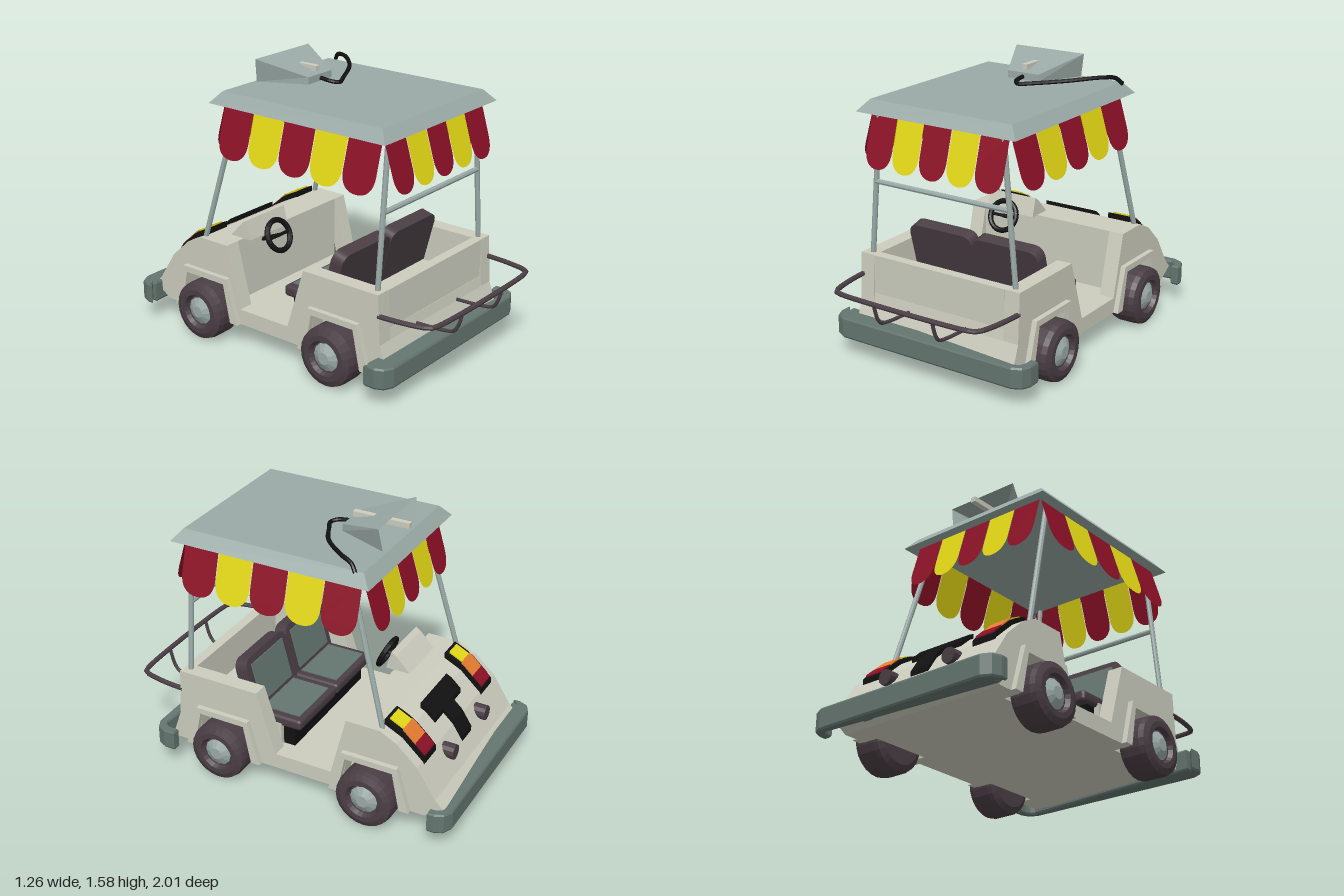
import * as THREE from 'three';
import { RoundedBoxGeometry } from 'three/addons/geometries/RoundedBoxGeometry.js';

const mat = (name, color, side = THREE.FrontSide) => {
  const m = new THREE.MeshStandardMaterial({ color, side, flatShading: true });
  m.name = name;
  return m;
};

export function createModel() {
  const cream = mat('cream', 0xcccdbe), steel = mat('pale steel', 0x9aaaa6, THREE.DoubleSide);
  const slate = mat('slate', 0x64756f), dark = mat('dark brown', 0x4a3e44), black = mat('black', 0x111111);
  const red = mat('red', 0x8c1026, THREE.DoubleSide), yellow = mat('yellow', 0xe2d714, THREE.DoubleSide);
  const orange = mat('orange', 0xe57c30);
  const root = new THREE.Group();
  const V = (x, y, z) => new THREE.Vector3(x, y, z);

  const add = (name, geo, m, parent = root) => {
    const mesh = new THREE.Mesh(geo, m);
    mesh.name = name;
    parent.add(mesh);
    return mesh;
  };
  const box = (name, m, x0, x1, y0, y1, z0, z1, parent) =>
    add(name, new THREE.BoxGeometry(x1 - x0, y1 - y0, z1 - z0)
      .translate((x0 + x1) / 2, (y0 + y1) / 2, (z0 + z1) / 2), m, parent);
  // Side profile of [z, y] points, extruded across x
  const extrudeX = (name, m, pts, x0, x1) => {
    const shape = new THREE.Shape(pts.map(([z, y]) => new THREE.Vector2(-z, y)));
    const geo = new THREE.ExtrudeGeometry(shape, { depth: x1 - x0, bevelEnabled: false });
    return add(name, geo.rotateY(Math.PI / 2).translate(x0, 0, 0), m);
  };
  const rod = (name, m, a, b, r, sides = 8) => {
    const mesh = add(name, new THREE.CylinderGeometry(r, r, a.distanceTo(b), sides), m);
    mesh.position.copy(a).lerp(b, 0.5);
    mesh.quaternion.setFromUnitVectors(V(0, 1, 0), b.clone().sub(a).normalize());
    return mesh;
  };
  const tube = (name, m, pts, r) => add(name, new THREE.TubeGeometry(
    new THREE.CatmullRomCurve3(pts.map(p => V(...p)), false, 'centripetal'), 40, r, 8), m);

  // Body: inner tub plus side panels with wheel openings
  const hood = [[-0.36, 0.58], [-0.56, 0.58], [-0.66, 0.53], [-0.78, 0.42], [-0.89, 0.25], [-0.94, 0.2], [-0.83, 0.13]];
  const arch = (z, low, high, top) => [[z - low, 0.13], [z - high, top], [z + high, top], [z + low, 0.13]];
  const axles = [-0.51, 0.405];
  extrudeX('bodyTub', cream, [[0.76, 0.13], [0.7, 0.3], [0.69, 0.36], [0.09, 0.36], [0.09, 0.22], [-0.36, 0.22], ...hood], -0.43, 0.43);
  box('rearWall', cream, -0.43, 0.43, 0.34, 0.58, 0.63, 0.688);
  const panel = [[0.76, 0.13], [0.7, 0.3], [0.685, 0.58], [0.19, 0.58], [0.075, 0.22], [-0.27, 0.22], ...hood,
    ...arch(axles[0], 0.18, 0.14, 0.355), ...arch(axles[1], 0.18, 0.14, 0.355)];
  for (const s of [-1, 1]) {
    const span = (a, b) => (s > 0 ? [a, b] : [-b, -a]);
    extrudeX('sidePanel', cream, panel, ...span(0.43, 0.52));
    for (const z of axles) {
      extrudeX('fender', cream, [...arch(z, 0.24, 0.165, 0.39), ...arch(z, 0.185, 0.14, 0.355).reverse()], ...span(0.52, 0.55));
      // Wheel: lathed tyre and a domed hub
      const wheel = new THREE.Group();
      wheel.name = 'wheel';
      wheel.position.set(s * 0.525, 0.17, z);
      wheel.rotation.z = -s * Math.PI / 2;
      root.add(wheel);
      const tyre = [[0, -0.095], [0.13, -0.095], [0.163, -0.075], [0.17, -0.05], [0.17, 0.05], [0.163, 0.08], [0.13, 0.095], [0.1, 0.095], [0.088, 0.07], [0, 0.07]];
      add('tyre', new THREE.LatheGeometry(tyre.map(p => new THREE.Vector2(...p)), 24), dark, wheel);
      add('hub', new THREE.CylinderGeometry(0.035, 0.09, 0.03, 12).translate(0, 0.08, 0), steel, wheel);
    }
  }

  // Pads that follow the slope of the hood
  const hoodY = z => {
    const i = Math.max(1, hood.findIndex(p => p[0] <= z));
    const [a, b] = [hood[i - 1], hood[i]];
    return a[1] + (b[1] - a[1]) * (z - a[0]) / (b[0] - a[0]);
  };
  const hoodPad = (name, m, x, w, z0, z1, low, high) => {
    const zs = [...Array(7)].map((_, i) => z0 + (z1 - z0) * i / 6);
    extrudeX(name, m, [...zs.map(z => [z, hoodY(z) + low]), ...zs.reverse().map(z => [z, hoodY(z) + high])], x - w / 2, x + w / 2);
  };
  for (const s of [-1, 1]) {
    hoodPad('lampSurround', black, s * 0.38, 0.145, -0.79, -0.555, -0.01, 0.034);
    hoodPad('redLamp', red, s * 0.38, 0.12, -0.785, -0.73, 0.034, 0.043);
    hoodPad('orangeLamp', orange, s * 0.38, 0.12, -0.73, -0.655, 0.034, 0.043);
    hoodPad('yellowLamp', yellow, s * 0.38, 0.1, -0.655, -0.575, 0.034, 0.043);
    rod('headlamp', dark, V(s * 0.215, 0.36, -0.75), V(s * 0.215, 0.36, -0.868), 0.043, 12);
  }
  hoodPad('hoodVent', black, 0, 0.12, -0.84, -0.72, -0.01, 0.03);
  hoodPad('hoodVent', black, 0, 0.34, -0.72, -0.63, -0.01, 0.03);

  // Dash cowl and steering wheel
  extrudeX('dashCowl', cream, [[-0.31, 0.58], [-0.34, 0.69], [-0.37, 0.67], [-0.46, 0.575]], -0.38, -0.06);
  const axis = V(0, -0.4, -0.92).normalize();
  const centre = V(-0.22, 0.58, -0.24);
  const ring = add('steeringWheel', new THREE.TorusGeometry(0.088, 0.016, 8, 24), black);
  ring.position.copy(centre);
  ring.quaternion.setFromUnitVectors(V(0, 0, -1), axis);
  rod('steeringColumn', black, centre, centre.clone().addScaledVector(axis, 0.17), 0.012);
  rod('wheelSpoke', black, V(-0.305, 0.58, -0.24), V(-0.135, 0.58, -0.24), 0.01);

  // Seats: leaning backs and cushions with slate faces
  const backShape = new THREE.Shape().moveTo(-0.212, 0).lineTo(0.212, 0).lineTo(0.212, 0.26)
    .quadraticCurveTo(0.205, 0.32, 0.15, 0.32).lineTo(-0.15, 0.32).quadraticCurveTo(-0.205, 0.32, -0.212, 0.26);
  box('seatBase', black, -0.4, 0.4, 0.21, 0.345, 0.02, 0.1);
  for (const s of [-1, 1]) {
    const seat = new THREE.Group();
    seat.name = 'seat';
    seat.position.x = s * 0.214;
    root.add(seat);
    const back = add('seatBack', new THREE.ExtrudeGeometry(backShape, { depth: 0.075, bevelEnabled: false }), dark, seat);
    back.position.set(0, 0.385, 0.235);
    back.rotation.x = 0.26;
    box('backPad', slate, -0.165, 0.165, 0.04, 0.28, -0.008, 0.001, back);
    add('cushion', new RoundedBoxGeometry(0.42, 0.065, 0.33, 2, 0.02).translate(0, 0.372, 0.135), dark, seat);
    box('cushionPad', slate, -0.165, 0.165, 0.403, 0.411, 0, 0.23, seat);
  }

  // Wraparound bumpers
  const bumper = (name, w, edge, inner, s) => {
    const d = edge - inner;
    const outer = [[w, 0], [w, d - 0.07], [w - 0.02, d - 0.025], [w - 0.07, d]];
    const inside = [[w - 0.035, 0], [w - 0.035, d - 0.08], [w - 0.05, d - 0.048], [w - 0.08, d - 0.035]];
    const flip = a => a.map(([x, z]) => [-x, z]).reverse();
    const pts = [...outer, ...flip(outer), ...flip(flip(flip(inside))), ...inside.slice().reverse()];
    const shape = new THREE.Shape(pts.map(([x, z]) => new THREE.Vector2(x, -s * (inner + z))));
    add(name, new THREE.ExtrudeGeometry(shape, { depth: 0.1, bevelThickness: 0.01, bevelSize: 0.006, bevelSegments: 1 })
      .rotateX(-Math.PI / 2).translate(0, 0.12, 0), slate);
  };
  bumper('rearBumper', 0.625, 0.815, 0.685, 1);
  bumper('frontBumper', 0.605, 0.994, 0.89, -1);
  for (const s of [-1, 1]) {
    box('bumperMount', slate, s * 0.3 - 0.03, s * 0.3 + 0.03, 0.14, 0.2, 0.72, 0.79);
    box('bumperMount', slate, s * 0.3 - 0.03, s * 0.3 + 0.03, 0.14, 0.2, -0.97, -0.88);
  }

  // Rear luggage rail
  const half = [[0.51, 0.458, 0.68], [0.5, 0.458, 0.8], [0.475, 0.458, 0.93], [0.455, 0.458, 0.97], [0.41, 0.458, 0.985]];
  tube('luggageRail', dark, [...half, ...half.map(([x, y, z]) => [-x, y, z]).reverse()], 0.014);
  for (const x of [-0.19, 0.19])
    tube('railStrut', dark, [[x, 0.455, 0.985], [x, 0.37, 0.96], [x, 0.33, 0.93], [x, 0.315, 0.86], [x, 0.305, 0.69]], 0.01);

  // Roof posts and crossbar
  for (const s of [-1, 1]) {
    rod('rearPost', steel, V(s * 0.47, 0.56, 0.645), V(s * 0.395, 1.38, 0.645), 0.015);
    rod('frontPost', steel, V(s * 0.48, 0.56, -0.56), V(s * 0.42, 1.38, -0.335), 0.015);
  }
  rod('crossbar', steel, V(-0.43, 0.99, 0.645), V(0.43, 0.99, 0.645), 0.015);

  // Roof slab with sloping edges
  const roof = new THREE.BoxGeometry(1, 0.065, 1);
  const rp = roof.attributes.position;
  for (let i = 0; i < rp.count; i++) {
    const inset = rp.getY(i) > 0 ? 0.055 : 0;
    rp.setX(i, Math.sign(rp.getX(i)) * (0.505 - inset));
    rp.setZ(i, Math.sign(rp.getZ(i)) * (0.59 - inset));
  }
  roof.computeVertexNormals();
  add('roof', roof.translate(0, 1.4075, 0.115), steel);

  // Scalloped valance, flaring outward on all four sides
  const valance = (x, z, turn, width) => {
    const side = new THREE.Group();
    side.name = 'valance';
    side.position.set(x, 1.378, z);
    side.rotation.y = turn;
    root.add(side);
    const w = width / 5, h = w / 2 - 0.002;
    for (let i = 0; i < 5; i++) {
      const shape = new THREE.Shape().moveTo(h, 0).lineTo(-h, 0).lineTo(-h, -0.19)
        .bezierCurveTo(-h, -0.265, -h * 0.6, -0.3, 0, -0.3).bezierCurveTo(h * 0.6, -0.3, h, -0.265, h, -0.19);
      const flap = add('scallop', new THREE.ShapeGeometry(shape, 8), i % 2 ? yellow : red, side);
      flap.position.x = (i - 2) * w;
      flap.rotation.x = -0.29;
    }
  };
  valance(0, 0.65, 0, 0.88);
  valance(0, -0.415, Math.PI, 0.88);
  valance(0.44, 0.118, Math.PI / 2, 1.06);
  valance(-0.44, 0.118, -Math.PI / 2, 1.06);

  // Roof horn, open at its mouth, with spout and cable
  const horn = new THREE.BoxGeometry(1, 1, 1);
  horn.setIndex([...horn.index.array].slice(0, 30));
  const hp = horn.attributes.position;
  for (let i = 0; i < hp.count; i++) {
    const mouth = hp.getZ(i) < 0, top = hp.getY(i) > 0;
    hp.setXYZ(i, Math.sign(hp.getX(i)) * (mouth ? (top ? 0.225 : 0.2) : 0.1),
      top ? (mouth ? 1.575 : 1.492) : (mouth ? 1.442 : 1.452), mouth ? (top ? -0.385 : -0.4) : -0.115);
  }
  horn.computeVertexNormals();
  add('horn', horn, steel);
  box('hornSpout', cream, -0.016, 0.016, 1.505, 1.535, -0.46, -0.13);
  tube('hornCable', black, [[0, 1.47, -0.11], [0.005, 1.462, -0.04], [0.035, 1.455, -0.01], [0.12, 1.462, -0.045],
    [0.28, 1.48, -0.13], [0.41, 1.488, -0.27], [0.45, 1.475, -0.35], [0.475, 1.44, -0.385]], 0.012);
  return root;
}
